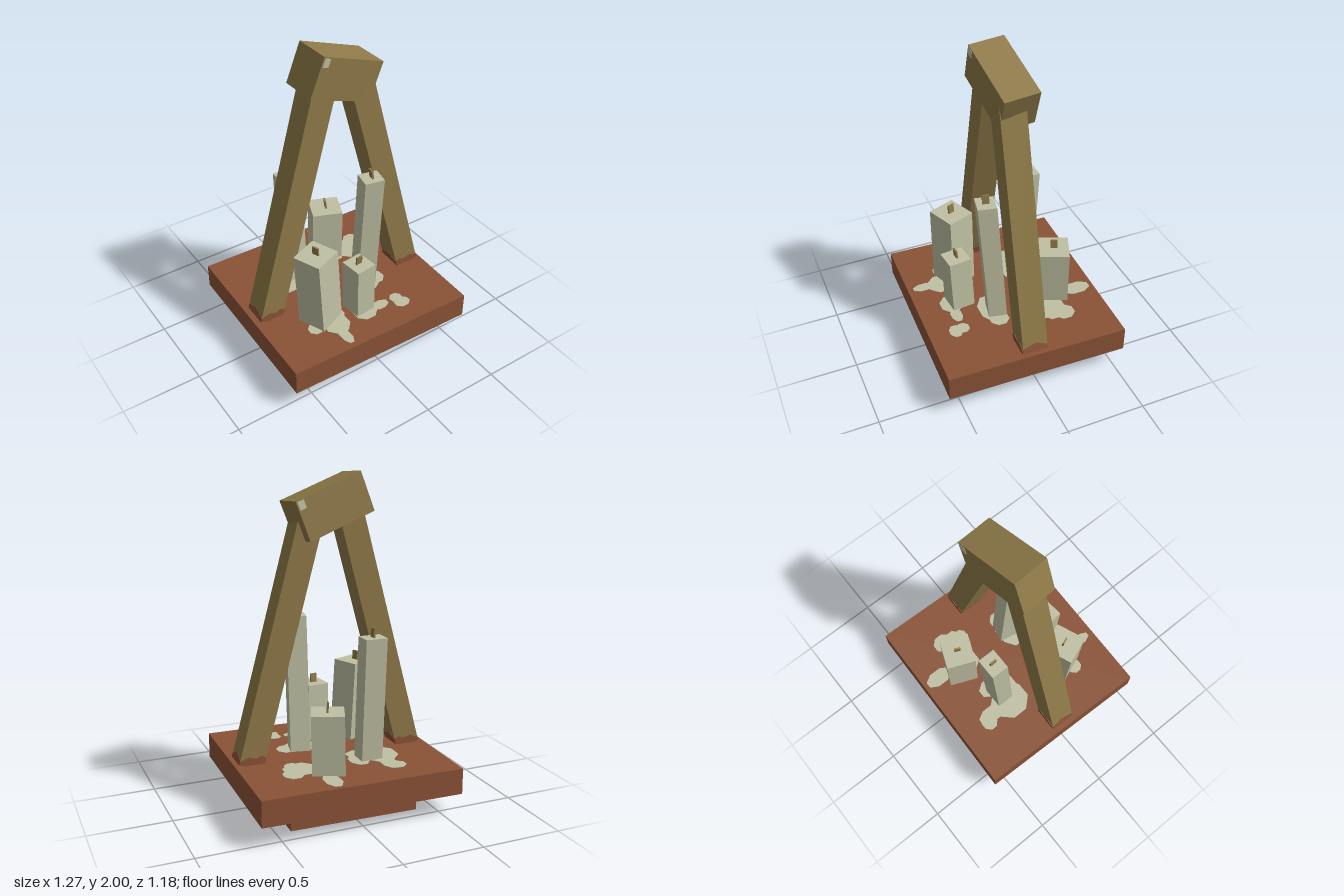
import * as THREE from 'three';

export function createModel() {
  const model = new THREE.Group();
  const mat = (name, color) => {
    const m = new THREE.MeshStandardMaterial({ color });
    m.name = name;
    return m;
  };
  const clay = mat('redBrown', 0x8a5236);
  const wood = mat('oldWood', 0x8f7a48);
  const wax = mat('paleWax', 0xbfc0a3);

  const add = (parent, name, geometry, material, x = 0, y = 0, z = 0) => {
    const mesh = new THREE.Mesh(geometry, material);
    mesh.name = name;
    mesh.position.set(x, y, z);
    parent.add(mesh);
    return mesh;
  };
  const box = (w, h, d) => new THREE.BoxGeometry(w, h, d);
  const plate = (points, depth) => new THREE.ExtrudeGeometry(
    new THREE.Shape(points.map(([x, y]) => new THREE.Vector2(x, y))),
    { depth, bevelEnabled: false });

  // Stepped base and the two legs share a slight turn
  const stand = new THREE.Group();
  stand.name = 'stand';
  stand.rotation.y = -0.025;
  model.add(stand);
  add(stand, 'lowerBase', box(0.8, 0.13, 0.825), clay, 0, 0.065, 0);
  add(stand, 'upperBase', box(1.245, 0.16, 1.146), clay, 0, 0.21, 0);

  // Leaning legs with ragged stained feet
  const W = 0.155, L = 1.55, T = 0.004, h = W / 2;
  for (const side of [-1, 1]) {
    const leg = new THREE.Group();
    leg.name = side < 0 ? 'rightLeg' : 'leftLeg';
    leg.position.set(0.005 + side * 0.518, 0.28, 0.017);
    leg.rotation.z = side * 0.2613;
    stand.add(leg);
    add(leg, 'beam', box(W, L, 0.158), wood, 0, L / 2, 0);
    // front and back stains, from the outer edge to the inner edge
    const rag = [[h, 0], [h, 0.022], [0.03, 0.057], [-0.02, 0.055],
      [-0.045, 0.077], [-h, 0.07], [-h, 0]].map(([x, y]) => [x * side, y]);
    for (const z of [0.0785, -0.0785 - T]) add(leg, 'footStain', plate(rag, T), clay, 0, 0, z);
    // outer and inner face stains
    for (const [x, lift] of [[side * h, 0.028], [-side * h, 0.068]]) {
      const g = plate([[-0.079, 0], [0.079, 0], [0.079, lift],
        [0.01, lift + 0.027], [-0.03, lift + 0.018], [-0.079, lift]], T);
      g.translate(0, 0, -T / 2).rotateY(Math.PI / 2);
      add(leg, 'footStain', g, clay, x, 0, 0);
    }
  }

  // Crooked block joining the legs, with a wax drop on opposite corners
  const cap = new THREE.Group();
  cap.name = 'topBlock';
  cap.position.set(0.01, 1.803, 0.005);
  cap.rotation.set(0.055, 0.07, -0.36, 'YXZ');
  model.add(cap);
  add(cap, 'block', box(0.45, 0.248, 0.22), wood);
  for (const s of [-1, 1]) {
    add(cap, 'waxDrop', box(0.042, 0.052, 0.004), wax, s * 0.195, 0.09, -s * 0.11);
  }

  // Leaning square candle: base centre, top centre, top height, size, turn, wick turn
  const addCandle = (base, top, y, w, d, turn, wickTurn = turn) => {
    const candle = new THREE.Group();
    candle.name = 'candle';
    model.add(candle);
    const y0 = 0.285, H = y - y0;
    const g = box(w, H, d);
    g.rotateY(turn).translate(0, H / 2, 0);
    // slide the upper corners sideways
    const p = g.attributes.position;
    for (let i = 0; i < p.count; i++) {
      const t = p.getY(i) / H;
      p.setX(i, p.getX(i) + t * (top[0] - base[0]));
      p.setZ(i, p.getZ(i) + t * (top[1] - base[1]));
    }
    g.computeVertexNormals();
    add(candle, 'waxBody', g, wax, base[0], y0, base[1]);
    const wick = add(candle, 'wick', box(0.011, 0.065, 0.042), wood, top[0], y + 0.023, top[1]);
    wick.rotation.set(0, wickTurn, 0.1);
  };
  addCandle([-0.172, -0.203], [-0.175, -0.245], 1.053, 0.136, 0.112, 0);
  addCandle([0.13, -0.298], [0.136, -0.296], 0.652, 0.195, 0.187, -0.39);
  addCandle([-0.255, 0.237], [-0.282, 0.231], 0.792, 0.195, 0.183, 0.38);
  addCandle([-0.008, 0.29], [-0.018, 0.302], 0.65, 0.136, 0.145, 0.1, 1.67);
  addCandle([0.16, 0.105], [0.157, 0.168], 1.135, 0.124, 0.115, -0.2);

  // Spilt wax: overlapping flat eight-sided blobs, each x, z, half width, half depth
  const blobs = [
    [-0.28, -0.375, 0.055, 0.05], [-0.25, -0.33, 0.05, 0.09], [-0.25, -0.18, 0.115, 0.12],
    [-0.1, -0.22, 0.06, 0.08], [-0.16, -0.12, 0.1, 0.05],
    [0.17, -0.45, 0.05, 0.09], [0.14, -0.28, 0.09, 0.12], [0.28, -0.22, 0.1, 0.09],
    [0.345, -0.28, 0.06, 0.065], [0.31, -0.16, 0.045, 0.045],
    [-0.34, 0.31, 0.045, 0.045], [-0.21, 0.34, 0.08, 0.09], [-0.22, 0.46, 0.033, 0.07],
    [-0.16, 0.27, 0.045, 0.06],
    [0, 0.35, 0.075, 0.07], [0.11, 0.355, 0.06, 0.035],
    [0.14, 0.13, 0.12, 0.08], [0.24, 0.12, 0.06, 0.06],
    [0.235, 0.36, 0.04, 0.04], [0.245, 0.41, 0.05, 0.04],
  ];
  const corner = 1 / Math.cos(Math.PI / 8);
  for (const [x, z, rx, rz] of blobs) {
    const g = new THREE.CylinderGeometry(corner, corner, T, 8);
    g.rotateY(Math.PI / 8).scale(rx, 1, rz);
    add(model, 'waxPuddle', g, wax, x, 0.291, z);
  }
  return model;
}
